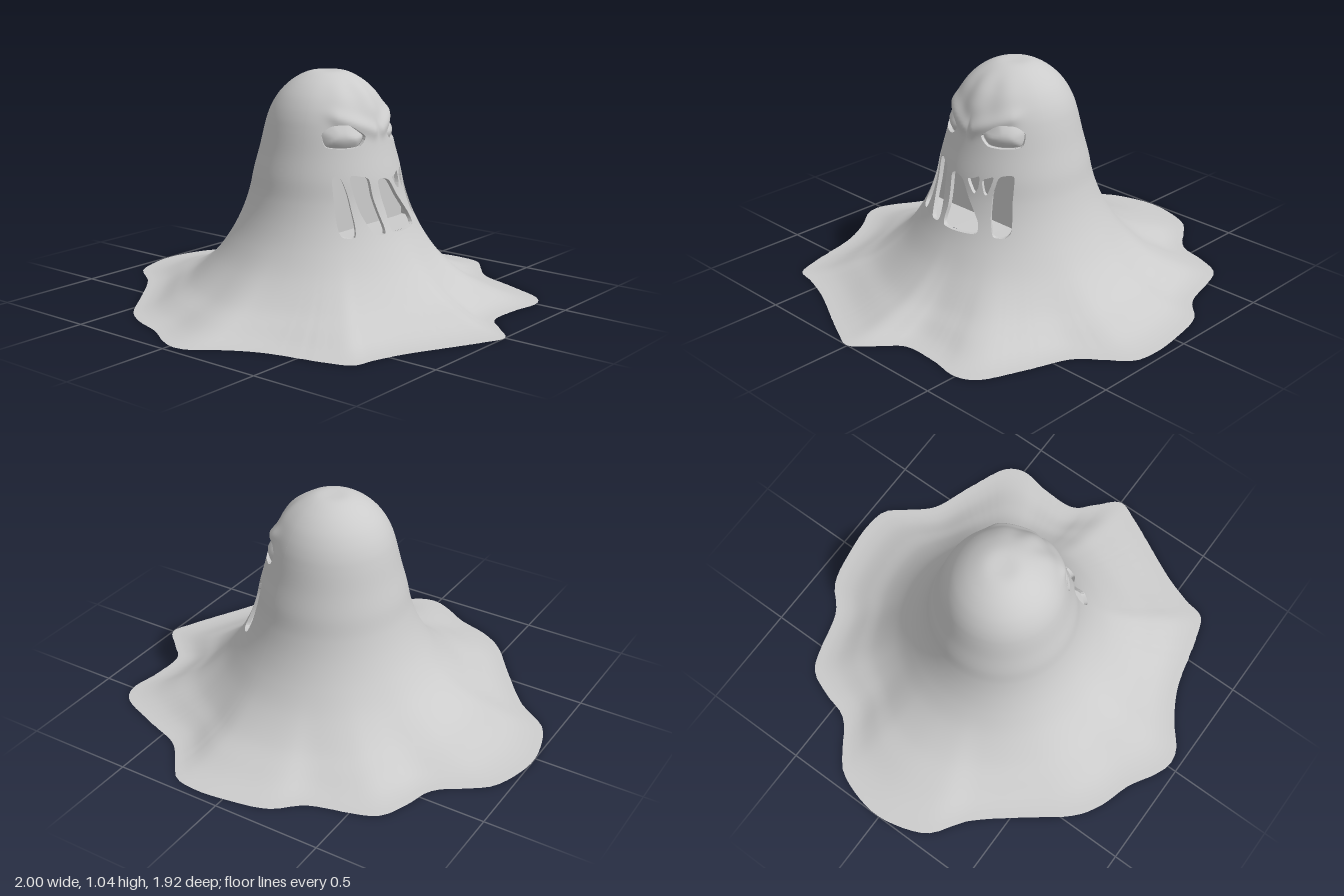
import * as THREE from 'three';
import { mergeVertices } from 'three/addons/utils/BufferGeometryUtils.js';

const CX = 0.025, CZ = -0.028; // axis of the upper body
const ROWS = 140, FACE_COLS = 170, BACK_COLS = 90, FACE_ANGLE = 1.25;
const WALL = 0.018, POCKET_X = 0.245; // skin thickness, back of the mouth
const smooth = THREE.MathUtils.smoothstep;

// Height profile: radius, y
const profile = new THREE.CatmullRomCurve3([
  [0, 1.036], [0.08, 1.033], [0.15, 1.0], [0.207, 0.95], [0.242, 0.9], [0.265, 0.85], [0.28, 0.8],
  [0.304, 0.7], [0.331, 0.6], [0.353, 0.5], [0.388, 0.4], [0.44, 0.3], [0.515, 0.2], [0.633, 0.1],
  [0.735, 0.05], [0.815, 0.019], [0.875, 0.006], [0.935, 0],
].map(([r, y]) => new THREE.Vector3(r, y, 0)));
profile.arcLengthDivisions = 600;

// Wavy outline of the spread hem: x, z
const hem = new THREE.CatmullRomCurve3([
  [1, 0], [0.96, 0.11], [0.8, 0.43], [0.75, 0.57], [0.725, 0.665], [0.62, 0.71], [0.35, 0.78], [0.2, 0.86],
  [0.09, 0.945], [0.015, 0.96], [-0.07, 0.93], [-0.19, 0.86], [-0.34, 0.81], [-0.45, 0.74], [-0.61, 0.54],
  [-0.77, 0.35], [-0.92, 0.24], [-0.97, 0.14], [-1, -0.02], [-0.97, -0.18], [-0.92, -0.28], [-0.72, -0.44],
  [-0.675, -0.58], [-0.61, -0.7], [-0.32, -0.8], [-0.2, -0.9], [-0.02, -0.945], [0.14, -0.96], [0.25, -0.94],
  [0.33, -0.85], [0.42, -0.75], [0.62, -0.67], [0.81, -0.58], [0.85, -0.5], [0.83, -0.34], [0.835, -0.18],
  [0.91, -0.1],
].map(([x, z]) => new THREE.Vector3(x, 0, z)), true);
const hemTable = hem.getPoints(1500).map(p => [Math.atan2(p.z, p.x), Math.hypot(p.x, p.z)]);
function hemRadius(angle) {
  let best = hemTable[0], gap = 9;
  for (const e of hemTable) {
    const d = Math.abs(Math.atan2(Math.sin(e[0] - angle), Math.cos(e[0] - angle)));
    if (d < gap) { gap = d; best = e; }
  }
  return best[1];
}

// Face openings in z, y
const outline = pts => new THREE.CatmullRomCurve3(
  pts.map(([z, y]) => new THREE.Vector3(z, y, 0)), true, 'catmullrom', 0.35).getPoints(pts.length * 7);
const eye = [[0.205, 0.74], [0.205, 0.795], [0.17, 0.828], [0.12, 0.83], [0.08, 0.803], [0.05, 0.775],
  [0.085, 0.738], [0.15, 0.731]];
const eyes = [eye, eye.map(([z, y]) => [-0.05 - z, y])].map(outline);
const mouth = [
  [[0.2, 0.622], [0.216, 0.6], [0.226, 0.5], [0.243, 0.39], [0.235, 0.365], [0.195, 0.365], [0.178, 0.42], [0.174, 0.52], [0.185, 0.6]],
  [[0.155, 0.61], [0.11, 0.612], [0.075, 0.595], [0.07, 0.52], [0.052, 0.4], [0.06, 0.365], [0.11, 0.368], [0.143, 0.46]],
  [[0.03, 0.58], [-0.005, 0.592], [-0.045, 0.575], [-0.09, 0.505], [-0.155, 0.42], [-0.168, 0.38], [-0.15, 0.365], [0.01, 0.365], [0.018, 0.45]],
  [[-0.07, 0.585], [-0.1, 0.595], [-0.125, 0.605], [-0.128, 0.56], [-0.115, 0.53], [-0.1, 0.54]],
  [[-0.14, 0.59], [-0.165, 0.605], [-0.185, 0.61], [-0.18, 0.57], [-0.168, 0.53], [-0.155, 0.54]],
  [[-0.205, 0.61], [-0.24, 0.622], [-0.258, 0.61], [-0.268, 0.5], [-0.292, 0.39], [-0.28, 0.365], [-0.235, 0.368], [-0.205, 0.44], [-0.193, 0.53]],
].map(outline);
const pocket = outline([[0.19, 0.625], [0.214, 0.612], [0.23, 0.5], [0.246, 0.38], [0.232, 0.362], [-0.03, 0.362],
  [-0.28, 0.362], [-0.293, 0.38], [-0.28, 0.5], [-0.262, 0.612], [-0.24, 0.625], [-0.03, 0.615]]);

// Signed distance to an outline, negative inside
function distance(poly, z, y) {
  let best = 9, inside = false;
  for (let i = 0, j = poly.length - 1; i < poly.length; j = i++) {
    const a = poly[j], b = poly[i], dx = b.x - a.x, dy = b.y - a.y;
    const k = THREE.MathUtils.clamp(((z - a.x) * dx + (y - a.y) * dy) / (dx * dx + dy * dy || 1), 0, 1);
    best = Math.min(best, Math.hypot(z - a.x - k * dx, y - a.y - k * dy));
    if ((a.y > y) !== (b.y > y) && z < a.x + (y - a.y) / dy * dx) inside = !inside;
  }
  return inside ? -best : best;
}
const field = (polys, p) => p.x < 0.08 || p.y < 0.3 || p.y > 0.9 ? 1
  : Math.min(...polys.map(poly => distance(poly, p.z, p.y)));

// Slanted brows and soft folds radiating over the forehead
function relief(angle, y, r) {
  if (Math.abs(angle) > 1.5 || y < 0.7) return 0;
  const s = Math.abs(r * Math.sin(angle));
  const k = THREE.MathUtils.clamp(((s - 0.03) * 0.14 + (y - 0.8) * 0.06) / 0.0232, 0, 1);
  const d = Math.hypot(s - 0.03 - 0.14 * k, y - 0.8 - 0.06 * k);
  const fold = Math.cos(angle * 9) * Math.exp(-((angle / 0.7) ** 2));
  return 0.014 * Math.exp(-((d / 0.03) ** 2))
    + 0.006 * fold * smooth(y, 0.8, 0.9) * (1 - smooth(y, 0.95, 1.03));
}

const columns = [];
for (let i = 0; i <= FACE_COLS; i++) columns.push(FACE_ANGLE * (2 * i / FACE_COLS - 1));
for (let i = 1; i <= BACK_COLS; i++) columns.push(FACE_ANGLE + (2 * Math.PI - 2 * FACE_ANGLE) * i / BACK_COLS);
const rows = profile.getSpacedPoints(ROWS);
const hems = columns.map(hemRadius);

// Surface point at fractional column u and row v, moved inward by inset
function surface(u, v, inset = 0) {
  const i = Math.min(Math.floor(u), columns.length - 2), j = Math.min(Math.floor(v), ROWS - 1);
  const mix = (list, at, n) => THREE.MathUtils.lerp(list[n], list[n + 1], at - n);
  const angle = mix(columns, u, i), rim = mix(hems, u, i);
  const p = rows[j].clone().lerp(rows[j + 1], v - j);
  const w = smooth(p.x, 0.4, 0.935);
  const r = p.x * (1 + w * (rim / 0.935 - 1)) + relief(angle, p.y, p.x) - inset;
  return new THREE.Vector3(CX * (1 - w) + r * Math.cos(angle), p.y, CZ * (1 - w) + r * Math.sin(angle));
}

function toGeometry(points) {
  const g = new THREE.BufferGeometry().setFromPoints(points);
  const merged = mergeVertices(g, 1e-5);
  merged.computeVertexNormals();
  return merged;
}

// Keeps the part of the surface where value > 0 and lists the cut edges
function trimmedSurface(value, inset) {
  const points = [], cuts = [];
  const grid = columns.map((_, u) => rows.map((_, v) => ({ u, v, f: value(surface(u, v)) })));
  const place = c => surface(c.u, c.v, inset(c.f));
  const cross = (a, b) => {
    const k = a.f / (a.f - b.f);
    return { u: a.u + (b.u - a.u) * k, v: a.v + (b.v - a.v) * k, f: 0 };
  };
  const addTriangle = tri => {
    const kept = [], edge = [];
    tri.forEach((a, n) => {
      const b = tri[(n + 1) % 3];
      if (a.f > 0) kept.push(a);
      if ((a.f > 0) !== (b.f > 0)) { const c = cross(a, b); kept.push(c); edge.push(c); }
    });
    for (let n = 2; n < kept.length; n++) points.push(place(kept[0]), place(kept[n - 1]), place(kept[n]));
    if (edge.length === 2) cuts.push(edge);
  };
  for (let u = 0; u < columns.length - 1; u++) for (let v = 0; v < ROWS; v++) {
    const a = grid[u][v], b = grid[u + 1][v], c = grid[u + 1][v + 1], d = grid[u][v + 1];
    if (v > 0) addTriangle([a, b, c]);
    addTriangle([a, c, d]);
  }
  return { geometry: toGeometry(points), cuts };
}

// Inside of the skin on the face side at z, y
function skinX(z, y) {
  const n = rows.findIndex(p => p.y < y);
  return CX + Math.sqrt(Math.max(0, (rows[n].x - WALL) ** 2 - (z - CZ) ** 2));
}

export function createModel() {
  const group = new THREE.Group();
  const material = new THREE.MeshStandardMaterial({ color: 0xcccccc, side: THREE.DoubleSide });
  const add = (name, geometry) => {
    const mesh = new THREE.Mesh(geometry, material);
    mesh.name = name;
    group.add(mesh);
    return mesh;
  };

  // Hollow draped body with open eyes and mouth
  const body = trimmedSurface(p => field([...eyes, ...mouth], p), () => 0);
  add('drapedBody', body.geometry);

  // Thickness around every opening
  const walls = [];
  for (const [a, b] of body.cuts) {
    const [p, q, s, t] = [surface(a.u, a.v), surface(b.u, b.v), surface(b.u, b.v, WALL), surface(a.u, a.v, WALL)];
    walls.push(p, q, s, p, s, t);
  }
  add('openingEdges', toGeometry(walls));

  // Bulging eyeballs set back in their sockets
  const balls = trimmedSurface(p => -field(eyes, p), f => 0.022 - 0.026 * Math.sqrt(smooth(f, 0, 0.05)));
  add('eyeballs', balls.geometry);

  // Mouth pocket behind the strands: flat back and a rim reaching the skin
  const back = new THREE.ShapeGeometry(new THREE.Shape(pocket.map(p => new THREE.Vector2(-p.x, p.y))));
  back.rotateY(Math.PI / 2).translate(POCKET_X, 0, 0);
  add('mouthBack', back);
  const rim = [];
  for (let i = 1; i < pocket.length; i++) {
    const [a, b] = [pocket[i - 1], pocket[i]];
    const at = (p, x) => new THREE.Vector3(x, p.y, p.x);
    const front = p => at(p, Math.max(POCKET_X, skinX(p.x, p.y)));
    rim.push(front(a), front(b), at(b, POCKET_X), front(a), at(b, POCKET_X), at(a, POCKET_X));
  }
  add('mouthRim', toGeometry(rim));
  return group;
}
